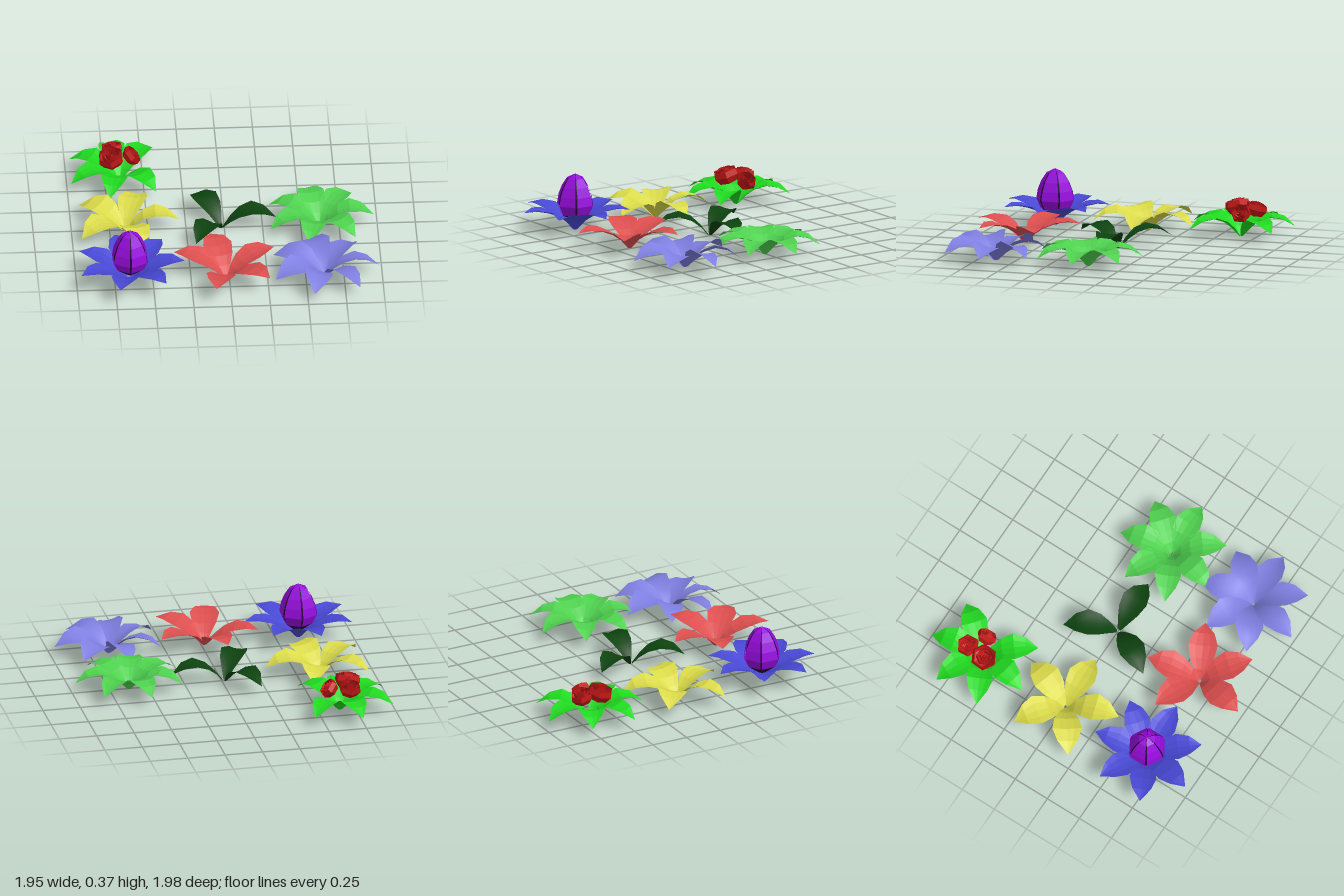
import * as THREE from 'three';

const paint = (name, color, flat = true) => {
  const m = new THREE.MeshStandardMaterial({ color, flatShading: flat, side: THREE.DoubleSide });
  m.name = name;
  return m;
};

// Petal cross-sections: distance out, height (drooping), height (spreading), half width
const STATIONS = [
  [0.01, 0, 0, 0.012], [0.06, 0.055, 0.055, 0.042], [0.12, 0.1, 0.095, 0.072],
  [0.2, 0.127, 0.128, 0.088], [0.28, 0.115, 0.145, 0.062], [0.36, 0.068, 0.138, 0],
];

// One folded petal reaching along +x; roll lifts one edge so neighbours overlap
function petalGeometry({ spread = 0, roll = 0, width = 1 }) {
  const pos = [], index = [];
  const cols = [-1, -0.5, 0, 0.5, 1];
  STATIONS.forEach(([r, droop, flat, w], i) => {
    const y = droop + (flat - droop) * spread;
    for (const c of cols) {
      const lift = (0.2 * c * c + roll * c) * w;
      pos.push(r, Math.max(0, y + lift), c * w * width);
    }
    if (i === STATIONS.length - 1) return;
    for (let j = 0; j < 4; j++) {
      const a = i * 5 + j, b = a + 5;
      index.push(a, a + 1, b, a + 1, b + 1, b);
    }
  });
  const g = new THREE.BufferGeometry();
  g.setAttribute('position', new THREE.Float32BufferAttribute(pos, 3));
  g.setIndex(index);
  g.computeVertexNormals();
  return g;
}

function rosette(name, x, z, material, angles, options = {}) {
  const group = new THREE.Group();
  group.name = name;
  group.position.set(x, 0, z);
  const geometry = petalGeometry(options);
  angles.forEach((deg) => {
    const petal = new THREE.Mesh(geometry, material);
    petal.name = 'petal';
    petal.rotation.y = THREE.MathUtils.degToRad(deg);
    group.add(petal);
  });
  return group;
}

const ring = (n) => Array.from({ length: n }, (_, i) => (i * 360) / n);

// Closed bud: six separate curved panels around a dark core
function bud(panelMaterial, coreMaterial) {
  const group = new THREE.Group();
  group.name = 'bud';
  const profile = [[0.03, 0.06], [0.1, 0.11], [0.128, 0.17], [0.118, 0.23],
    [0.094, 0.29], [0.058, 0.345], [0.003, 0.373]];
  const points = (k) => profile.map(([r, y]) => new THREE.Vector2(r * k, y - (k < 1 ? 0.006 : 0)));
  const gap = 0.1;
  for (let i = 0; i < 6; i++) {
    const panel = new THREE.Mesh(
      new THREE.LatheGeometry(points(1), 1, (i * Math.PI) / 3 + gap / 2, Math.PI / 3 - gap), panelMaterial);
    panel.name = 'budPanel';
    group.add(panel);
  }
  const core = new THREE.Mesh(new THREE.LatheGeometry(points(0.94), 6), coreMaterial);
  core.name = 'budCore';
  group.add(core);
  return group;
}

// Rose: nested, twisted six-sided cups
function rose(material, x, y, z, size, tiltX, tiltZ) {
  const group = new THREE.Group();
  group.name = 'rose';
  const cups = [
    [[0, 0], [0.055, 0.015], [0.08, 0.055], [0.072, 0.09]],
    [[0.02, 0.02], [0.05, 0.05], [0.052, 0.098]],
    [[0, 0.04], [0.03, 0.06], [0.032, 0.104]],
    [[0, 0.06], [0.015, 0.075], [0.012, 0.1]],
  ];
  cups.forEach((cup, i) => {
    const pts = cup.map(([r, h]) => new THREE.Vector2(r, h));
    const layer = new THREE.Mesh(new THREE.LatheGeometry(pts, 6 - (i > 1 ? 1 : 0)), material);
    layer.name = 'rosePetals';
    layer.rotation.set(i * 0.05, i * 0.5, -i * 0.04);
    group.add(layer);
  });
  group.position.set(x, y, z);
  group.rotation.set(tiltX, 0, tiltZ);
  group.scale.setScalar(size);
  return group;
}

export function createModel() {
  const model = new THREE.Group();
  model.name = 'flowerSet';
  const green = paint('brightGreen', 0x20d820);
  const roseRed = paint('roseRed', 0xc01616);
  const yellow = paint('yellow', 0xdada4a);
  const forest = paint('forestGreen', 0x0d420f, false);
  const mint = paint('lightGreen', 0x4ed04e);
  const blue = paint('blue', 0x4848d4);
  const purple = paint('purple', 0x960cdc);
  const dark = paint('darkPurple', 0x28063a);
  const coral = paint('coralRed', 0xdc4e4e);
  const lavender = paint('lavender', 0x7e7ee0, false);

  // Back row: leaves carrying three roses
  const roseBush = rosette('roseLeaves', -0.65, -0.64, green, ring(7).slice(1));
  roseBush.add(
    rose(roseRed, -0.04, 0.125, -0.075, 0.95, -0.25, 0.1),
    rose(roseRed, 0.04, 0.13, -0.025, 0.85, 0, -0.85),
    rose(roseRed, -0.05, 0.125, 0.025, 1.1, 0.25, 0.15),
  );
  model.add(roseBush);

  // Middle row
  model.add(rosette('yellowFlower', -0.65, 0, yellow, ring(5), { roll: 0.12, width: 1.1 }));
  model.add(rosette('threeLeafSprout', -0.02, 0, forest, ring(3)));
  model.add(rosette('lightGreenFlower', 0.62, 0, mint, ring(7)));

  // Front row
  const blueFlower = rosette('blueFlower', -0.65, 0.635, blue, ring(7), { spread: 1 });
  blueFlower.add(bud(purple, dark));
  model.add(blueFlower);
  model.add(rosette('redFlower', -0.02, 0.635, coral, [27, 104, 159, 257, 320], { spread: 0.85, width: 1.1 }));
  model.add(rosette('lavenderFlower', 0.62, 0.635, lavender, ring(7), { roll: 0.25, width: 1.05 }));
  return model;
}
